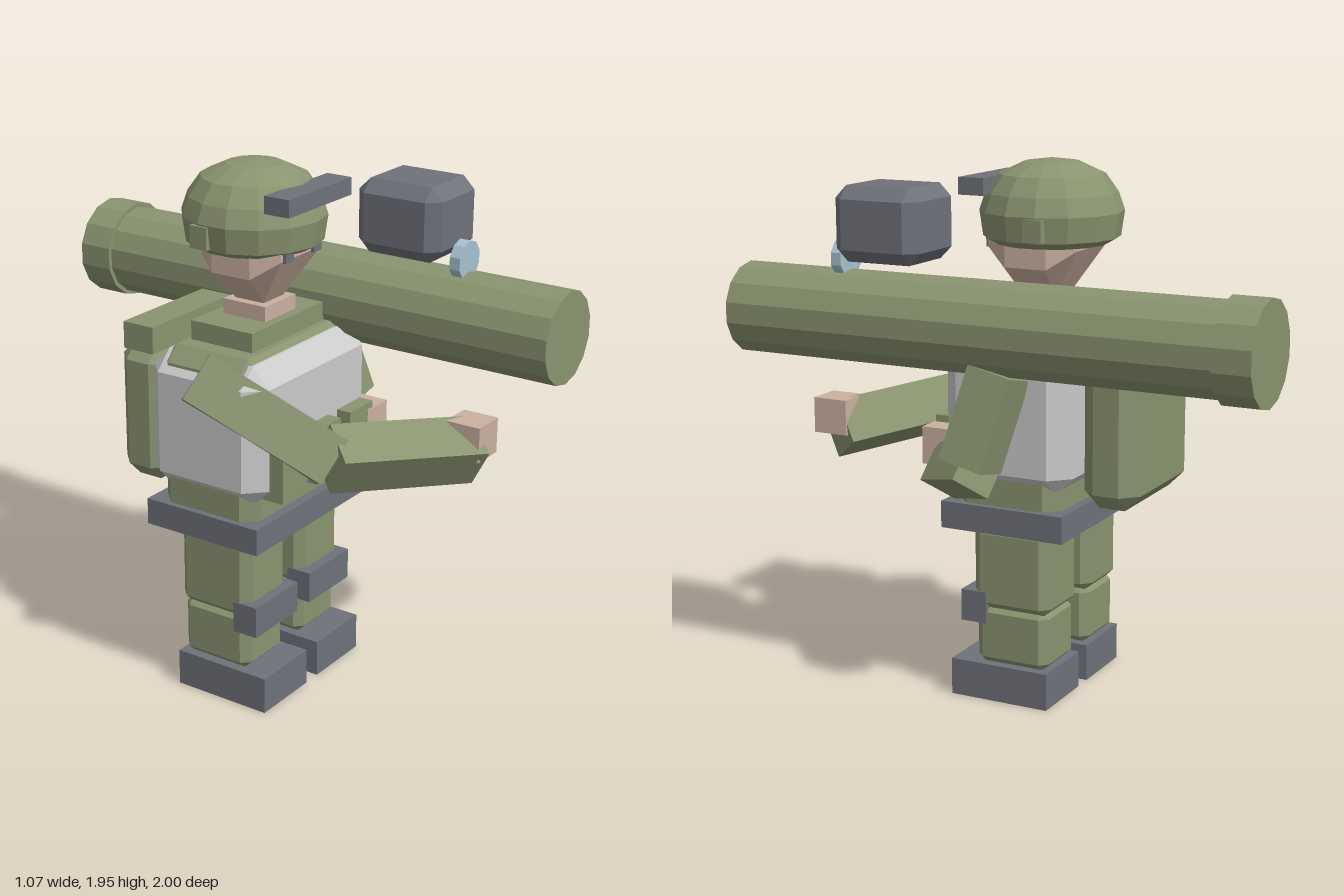
import * as THREE from 'three';
import { ConvexGeometry } from 'three/addons/geometries/ConvexGeometry.js';

const mat = (name, color) => {
  const m = new THREE.MeshStandardMaterial({ color });
  m.name = name;
  return m;
};

// Gives every facet its own normal
function faceted(geo) {
  const g = geo.index ? geo.toNonIndexed() : geo;
  g.computeVertexNormals();
  return g;
}

// Box with all edges cut off by c
function chamferBox(w, h, d, c) {
  const pts = [];
  const [x, y, z] = [w / 2, h / 2, d / 2];
  for (const i of [-1, 1]) for (const j of [-1, 1]) for (const k of [-1, 1]) {
    pts.push(
      new THREE.Vector3(i * x, j * (y - c), k * (z - c)),
      new THREE.Vector3(i * (x - c), j * y, k * (z - c)),
      new THREE.Vector3(i * (x - c), j * (y - c), k * z));
  }
  return new ConvexGeometry(pts);
}

export function createModel() {
  const green = mat('olive', 0x8a9470);
  const grey = mat('dark grey', 0x6e7279);
  const pale = mat('light grey', 0xcbcbcb);
  const skin = mat('skin', 0xcbb1a1);
  const glass = mat('pale blue', 0xa6c2cf);

  const model = new THREE.Group();
  model.name = 'soldier';

  const add = (name, geo, material, x = 0, y = 0, z = 0) => {
    const m = new THREE.Mesh(geo, material);
    m.name = name;
    m.position.set(x, y, z);
    model.add(m);
    return m;
  };
  // Box given by its low and high corners, chamfered when c > 0
  const block = (name, material, [x0, y0, z0], [x1, y1, z1], c = 0) => {
    const s = [x1 - x0, y1 - y0, z1 - z0];
    const geo = c ? chamferBox(...s, c) : new THREE.BoxGeometry(...s);
    return add(name, geo, material, (x0 + x1) / 2, (y0 + y1) / 2, (z0 + z1) / 2);
  };
  // Square limb between two points
  const limb = (name, from, to, width) => {
    const a = new THREE.Vector3(...from), b = new THREE.Vector3(...to);
    const dir = b.clone().sub(a);
    const m = add(name, new THREE.BoxGeometry(width, dir.length(), width), green);
    m.position.copy(a).add(b).multiplyScalar(0.5);
    m.quaternion.setFromUnitVectors(new THREE.Vector3(0, 1, 0), dir.normalize());
    return m;
  };
  // Cylinder lying along z
  const zCylinder = (name, material, r, z0, z1, y, sides) => {
    const geo = faceted(new THREE.CylinderGeometry(r, r, z1 - z0, sides).rotateX(Math.PI / 2));
    return add(name, geo, material, 0.325, y, (z0 + z1) / 2);
  };

  // Legs
  for (const [side, x] of [['right', -0.22], ['left', 0.12]]) {
    block(side + 'Boot', grey, [x - 0.135, 0, -0.165], [x + 0.135, 0.137, 0.22]);
    block(side + 'Shin', green, [x - 0.12, 0.13, -0.155], [x + 0.12, 0.36, 0.13], 0.03);
    block(side + 'Thigh', green, [x - 0.127, 0.335, -0.165], [x + 0.127, 0.66, 0.14], 0.034);
    block(side + 'KneePad', grey, [x - 0.13, 0.29, 0.08], [x + 0.13, 0.407, 0.18]);
  }

  // Torso, vest and belt
  block('belt', grey, [-0.41, 0.65, -0.252], [0.31, 0.748, 0.226]);
  block('torso', green, [-0.387, 0.69, -0.22], [0.287, 1.33, 0.19], 0.055);
  block('vest', pale, [-0.41, 0.8, -0.262], [0.31, 1.312, 0.232], 0.07);
  block('collar', green, [-0.27, 1.3, -0.15], [0.17, 1.4, 0.11]);
  for (const x of [-0.265, -0.055, 0.155]) {
    block('pouch', green, [x - 0.075, 0.835, 0.2], [x + 0.075, 1.04, 0.288]);
  }

  // Backpack with a bedroll
  block('backpack', green, [-0.305, 0.75, -0.477], [0.205, 1.27, -0.26], 0.06);
  block('bedroll', green, [-0.3, 1.25, -0.43], [0.2, 1.35, -0.3]);

  // Neck and tapered head
  block('neck', skin, [-0.143, 1.355, -0.105], [0.042, 1.455, 0.075]);
  const headPts = [];
  for (const i of [-1, 1]) for (const k of [-1, 1]) {
    for (const [x, y, z] of [
      [0.06, 1.455, 0.06], [0.172, 1.57, 0.08], [0.12, 1.635, 0.175],
      [0.172, 1.75, 0.08], [0.12, 1.75, 0.175]]) {
      headPts.push(new THREE.Vector3(i * x, y, k * z));
    }
  }
  add('head', new ConvexGeometry(headPts), skin, -0.05, 0, -0.015);
  for (const x of [-0.135, 0.035]) {
    block('eye', grey, [x - 0.024, 1.63, 0.12], [x + 0.024, 1.675, 0.172]);
  }

  // Helmet with goggles
  const profile = [[0, 1.66], [0.2, 1.645], [0.245, 1.67], [0.258, 1.76],
    [0.236, 1.825], [0.19, 1.89], [0.1, 1.932], [0, 1.945]];
  const dome = new THREE.LatheGeometry(profile.map(p => new THREE.Vector2(...p)), 14);
  add('helmet', faceted(dome), green, -0.05, 0, -0.035);
  block('helmetSide', green, [-0.31, 1.675, -0.12], [0.21, 1.755, -0.05]);
  block('goggles', grey, [-0.24, 1.818, 0.14], [0.138, 1.88, 0.24]);

  // Arms and hands
  limb('rightUpperArm', [-0.42, 1.26, -0.02], [-0.215, 0.98, 0.405], 0.175);
  limb('rightForearm', [-0.235, 1.0, 0.41], [0.235, 0.945, 0.7], 0.17);
  block('rightHand', skin, [0.155, 0.935, 0.635], [0.285, 1.065, 0.77]);
  limb('leftUpperArm', [0.375, 1.25, -0.045], [0.45, 0.93, 0.03], 0.165);
  limb('leftForearm', [0.44, 0.92, 0.0], [0.3, 0.86, 0.21], 0.15);
  block('leftHand', skin, [0.19, 0.88, 0.16], [0.32, 1.015, 0.293]);

  // Shoulder launcher
  zCylinder('launcherTube', green, 0.167, -0.88, 1, 1.393, 14);
  zCylinder('launcherRearRing', green, 0.183, -1, -0.865, 1.393, 14);
  block('sightBox', grey, [0.17, 1.602, 0.225], [0.476, 1.867, 0.56], 0.045);
  zCylinder('sightLens', glass, 0.072, 0.57, 0.61, 1.6, 10);

  return model;
}
